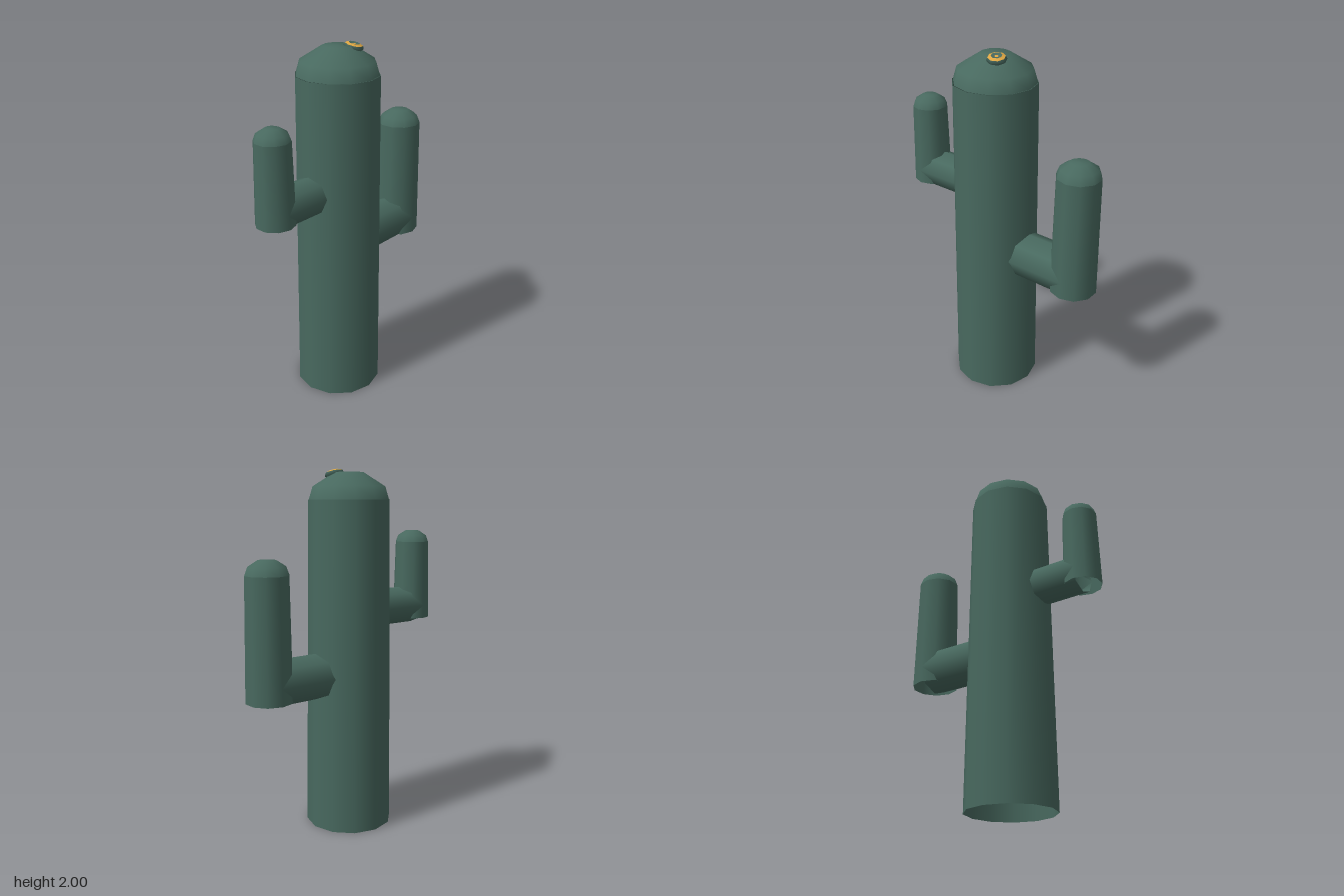
import * as THREE from 'three';

export function createModel() {
  const model = new THREE.Group();
  const green = new THREE.MeshStandardMaterial({ color: 0x48695f, side: THREE.DoubleSide });
  green.name = 'cactus green';
  const gold = new THREE.MeshStandardMaterial({ color: 0xdca542, side: THREE.DoubleSide });
  gold.name = 'flower gold';

  const add = (parent, name, geometry, material, x = 0, y = 0, z = 0) => {
    const mesh = new THREE.Mesh(geometry, material);
    mesh.name = name;
    mesh.position.set(x, y, z);
    parent.add(mesh);
    return mesh;
  };
  const lathe = (points, sides) =>
    new THREE.LatheGeometry(points.map(([r, y]) => new THREE.Vector2(r, y)), sides);

  // Open tapered column with a rounded cap
  const column = (parent, name, x, y0, y1, r0, r1, sides, cap) => {
    const tube = new THREE.CylinderGeometry(r1, r0, y1 - y0, sides, 1, true);
    add(parent, name, tube, green, x, (y0 + y1) / 2);
    add(parent, name + 'Cap', lathe(cap, sides), green, x, y1);
  };

  column(model, 'trunk', -0.045, 0, 1.84, 0.245, 0.225, 12,
    [[0.221, 0], [0.2, 0.07], [0.08, 0.145], [0, 0.147]]);

  // Each arm: a horizontal branch and an upright column
  const arm = (name, { x, inner, branchY, branchR, y0, y1, r0, r1, capH }) => {
    const group = new THREE.Group();
    group.name = name;
    model.add(group);
    const branch = new THREE.CylinderGeometry(branchR, branchR, Math.abs(x - inner), 8, 1, true);
    add(group, 'branch', branch, green, (x + inner) / 2, branchY).rotation.z = Math.PI / 2;
    column(group, 'upright', x, y0, y1, r0, r1, 10,
      [[r1, 0], [r1 * 0.86, capH * 0.55], [r1 * 0.42, capH * 0.97], [0, capH]]);
  };
  arm('leftArm', {
    x: 0.49, inner: 0.1, branchY: 0.883, branchR: 0.129,
    y0: 0.79, y1: 1.46, r0: 0.13, r1: 0.119, capH: 0.08,
  });
  arm('rightArm', {
    x: -0.517, inner: -0.19, branchY: 1.23, branchR: 0.107,
    y0: 1.155, y1: 1.6, r0: 0.107, r1: 0.096, capH: 0.065,
  });

  // Small tilted flower on the crown
  const flower = new THREE.Group();
  flower.name = 'flower';
  flower.position.set(0.012, 1.977, 0.058);
  flower.rotation.set(0.2, 0, -0.1);
  model.add(flower);
  add(flower, 'bud', lathe([[0, -0.02], [0.035, -0.02], [0.054, -0.004], [0.047, 0.013]], 8), green);
  add(flower, 'petalRing', lathe([[0.047, 0.013], [0.03, 0.02]], 8), gold);
  add(flower, 'flowerBowl', lathe([[0.03, 0.02], [0.011, 0.016]], 8), green);
  add(flower, 'flowerCentre', lathe([[0.011, 0.016], [0, 0.018]], 8), gold);

  return model;
}
